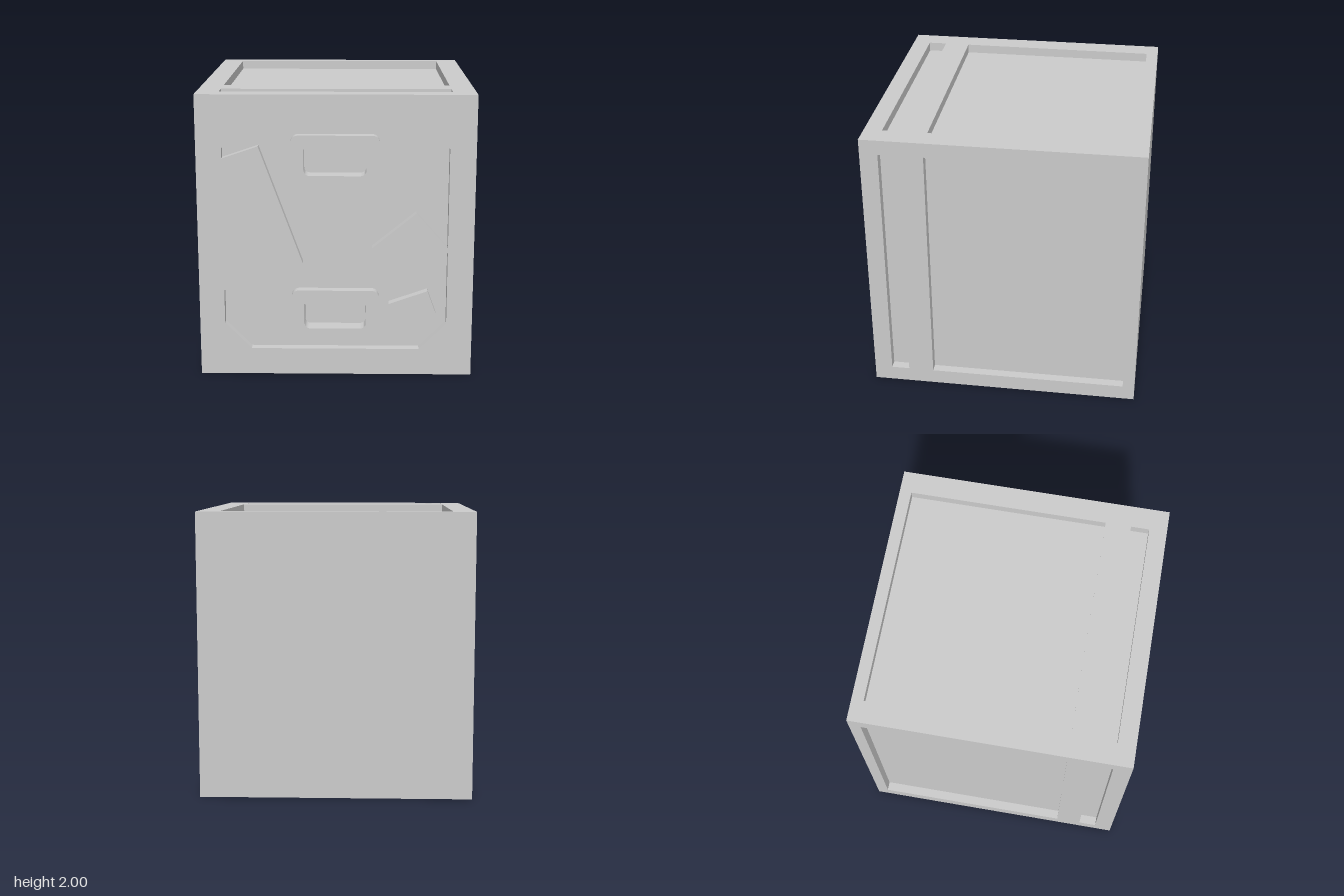
import * as THREE from 'three';
import { toCreasedNormals, mergeGeometries } from 'three/addons/utils/BufferGeometryUtils.js';

const HX = 0.955, HY = 1, HZ = 0.967; // half sizes of the block
const DEPTH = 0.065;                  // depth of panels and front relief
const POCKET = 0.12;                  // depth of the handle pockets

const material = new THREE.MeshStandardMaterial({ color: 0xcccccc });
const toPoints = list => list.map(([x, y]) => new THREE.Vector2(x, y));
const rect = (x0, x1, y0, y1) => toPoints([[x0, y0], [x1, y0], [x1, y1], [x0, y1]]);

function roundedRect(x0, x1, y0, y1, r) {
  const pts = [];
  [[x1 - r, y1 - r], [x0 + r, y1 - r], [x0 + r, y0 + r], [x1 - r, y0 + r]].forEach(([cx, cy], q) => {
    for (let i = 0; i <= 6; i++) {
      const a = (q + i / 6) * Math.PI / 2;
      pts.push(new THREE.Vector2(cx + r * Math.cos(a), cy + r * Math.sin(a)));
    }
  });
  return pts;
}

// Flat surface facing +z at height z, with holes
function plate(outline, holes, z) {
  const shape = new THREE.Shape(outline);
  shape.holes = holes.map(h => new THREE.Path(h));
  const geo = new THREE.ShapeGeometry(shape).toNonIndexed();
  geo.deleteAttribute('uv');
  return geo.translate(0, 0, z);
}

// Walls between two heights; they face into the loop, or out of it for islands
function walls(loop, top, bottom, outward = false) {
  const pts = loop.slice();
  if (THREE.ShapeUtils.isClockWise(pts) !== outward) pts.reverse();
  const pos = [];
  pts.forEach((a, i) => {
    const b = pts[(i + 1) % pts.length];
    pos.push(a.x, a.y, top, b.x, b.y, top, b.x, b.y, bottom);
    pos.push(a.x, a.y, top, b.x, b.y, bottom, a.x, a.y, bottom);
  });
  const geo = new THREE.BufferGeometry();
  geo.setAttribute('position', new THREE.Float32BufferAttribute(pos, 3));
  geo.computeVertexNormals();
  return geo;
}

function part(name, ...geos) {
  const mesh = new THREE.Mesh(toCreasedNormals(mergeGeometries(geos), 0.6), material);
  mesh.name = name;
  return mesh;
}

// One side of the block with plain recessed panels
function panelledSide(name, hw, hh, distance, panels) {
  const side = new THREE.Group();
  side.name = name;
  side.add(part('sideFrame', plate(rect(-hw, hw, -hh, hh), panels, distance)));
  panels.forEach((p, i) => side.add(part(i ? 'slot' : 'recessedPanel',
    walls(p, distance, distance - DEPTH), plate(p, [], distance - DEPTH))));
  return side;
}

function frontSide() {
  const side = new THREE.Group();
  side.name = 'frontSide';
  const floor = HZ - DEPTH;

  // Irregular sunken field
  const field = toPoints([
    [-0.78, 1.56], [-0.78, 1.63], [-0.595, 1.82], [0.585, 1.82], [0.775, 1.63], [0.775, 0.93],
    [0.555, 1.18], [0.25, 0.93], [0.48, 0.655], [0.775, 0.9], [0.775, 0.38], [0.585, 0.19],
    [-0.595, 0.19], [-0.78, 0.38], [-0.78, 0.62], [-0.23, 0.82], [-0.53, 1.645]]);
  const block = toPoints([[0.37, 0.525], [0.43, 0.355], [0.7, 0.455], [0.64, 0.62]]);
  const frames = [0.445, 1.545].map(y => roundedRect(-0.31, 0.3, y - 0.175, y + 0.175, 0.05));
  const pockets = [0.445, 1.545].map(y => roundedRect(-0.22, 0.21, y - 0.105, y + 0.105, 0.04));

  side.add(part('frontFace', plate(rect(-HX, HX, 0, 2 * HY), [field], HZ)));
  side.add(part('sunkenField', walls(field, HZ, floor), plate(field, [block, ...frames], floor)));
  side.add(part('raisedBlock', plate(block, [], HZ), walls(block, HZ, floor, true)));

  // Handle frames with deep pockets
  frames.forEach((frame, i) => {
    side.add(part('handleFrame', plate(frame, [pockets[i]], HZ), walls(frame, HZ, floor, true)));
    side.add(part('handlePocket', walls(pockets[i], HZ, HZ - POCKET), plate(pockets[i], [], HZ - POCKET)));
  });
  side.position.y = -HY;
  return side;
}

export function createModel() {
  const model = new THREE.Group();
  model.name = 'block';
  const body = new THREE.Group();
  body.name = 'body';
  body.position.y = HY;
  model.add(body);

  body.add(frontSide());

  const back = panelledSide('backSide', HX, HY, HZ, []);
  back.rotation.y = Math.PI;
  body.add(back);

  // Large panel and slot, placed along z
  const spans = [[-0.882, 0.528], [0.71, 0.84]];
  for (const s of [-1, 1]) {
    const sorted = spans.map(([a, b]) => [s * a, s * b].sort((p, q) => p - q));

    const flank = panelledSide(s < 0 ? 'leftSide' : 'rightSide', HZ, HY, HX,
      sorted.map(([a, b]) => rect(a, b, -0.89, 0.895)));
    flank.rotation.y = -s * Math.PI / 2;
    body.add(flank);

    const cap = panelledSide(s < 0 ? 'topSide' : 'bottomSide', HX, HZ, HY,
      sorted.map(([a, b]) => rect(-0.8, 0.795, a, b)));
    cap.rotation.x = s * Math.PI / 2;
    body.add(cap);
  }
  return model;
}
